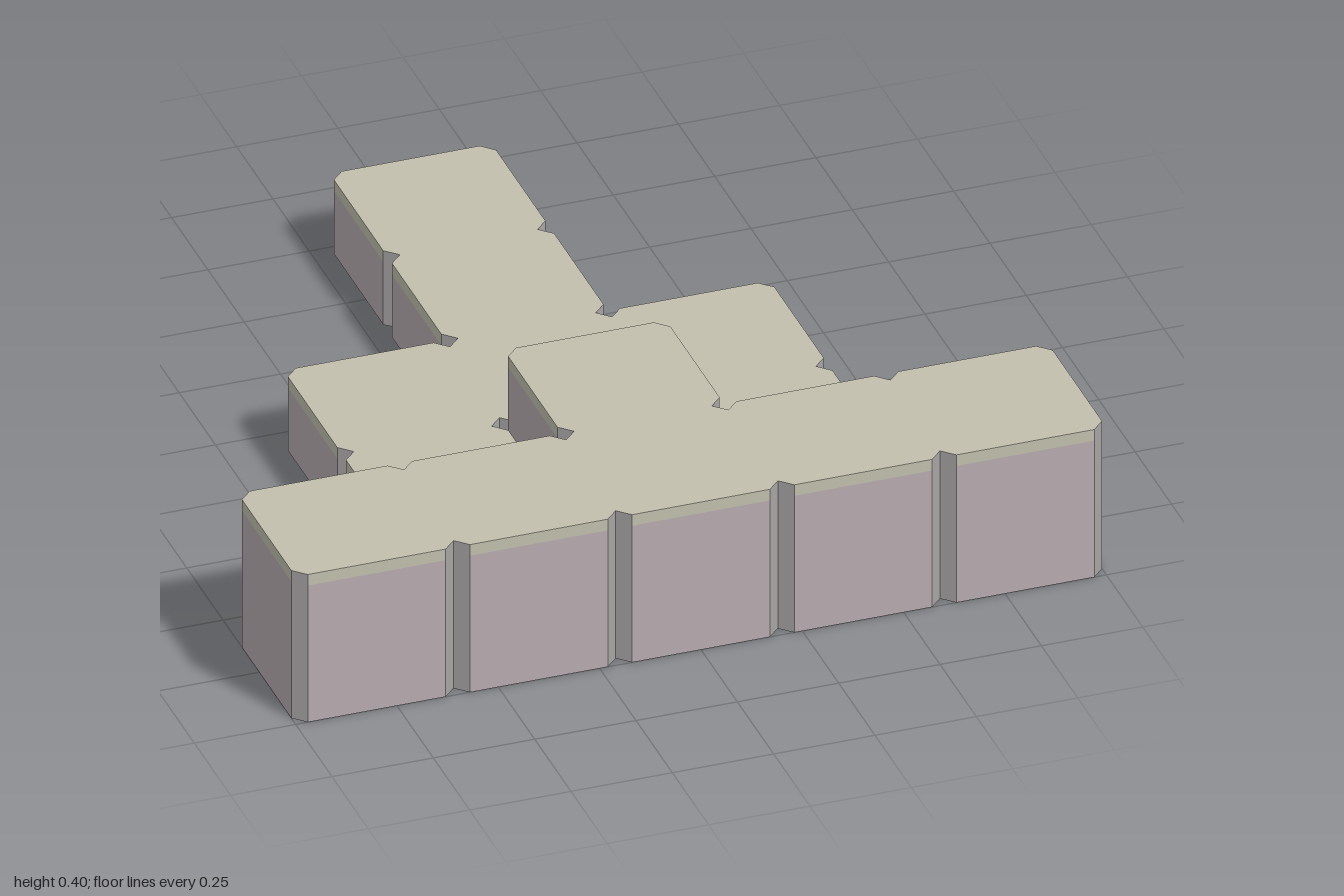
import * as THREE from 'three';

const CELL = 0.4, HALF = 0.2, CUT = 0.03, BAND = 0.03;

// block heights, in rows from back to front
const heights = [
  [0, 0, 0.2, 0, 0],
  [0, 0, 0.2, 0, 0],
  [0, 0.2, 0.2, 0.2, 0],
  [0, 0.2, 0.4, 0.2, 0],
  [0.4, 0.4, 0.4, 0.4, 0.4],
];
const heightAt = (col, row) => heights[row]?.[col] ?? 0;

// collects triangles and turns them into a flat shaded mesh
class Surface {
  constructor() { this.points = []; }
  triangle(a, b, c) { this.points.push(...a, ...b, ...c); }
  // upright panel from floor point p to floor point q
  panel(p, q, y0, y1) {
    const p0 = [p[0], y0, p[1]], p1 = [p[0], y1, p[1]];
    const q0 = [q[0], y0, q[1]], q1 = [q[0], y1, q[1]];
    this.triangle(q0, p0, p1);
    this.triangle(q0, p1, q1);
  }
  mesh(name, material) {
    const geometry = new THREE.BufferGeometry();
    geometry.setAttribute('position', new THREE.Float32BufferAttribute(this.points, 3));
    geometry.computeVertexNormals();
    const mesh = new THREE.Mesh(geometry, material);
    mesh.name = name;
    return mesh;
  }
}

function material(name, color) {
  const m = new THREE.MeshStandardMaterial({ color });
  m.name = name;
  return m;
}

export function createModel() {
  const group = new THREE.Group();
  group.name = 'steppedBlocks';
  const stone = material('olive stone', 0xc2bfae);
  const wall = material('mauve wall', 0xb8acb0);
  const corner = material('grey corner', 0xa9a6a6);
  const tops = new Surface(), bands = new Surface(), walls = new Surface();
  const corners = new Surface(), base = new Surface();
  const steps = [[1, 0], [0, 1], [-1, 0], [0, -1]];

  heights.forEach((line, row) => line.forEach((h, col) => {
    if (!h) return;
    const cx = (col - 2) * CELL, cz = (row - 2) * CELL;

    // octagonal outline with small cut corners
    const outline = [];
    for (const [nx, nz] of steps) {
      for (const s of [-1, 1]) {
        const t = s * (HALF - CUT);
        outline.push([cx + nx * HALF - nz * t, cz + nz * HALF + nx * t]);
      }
    }

    // top and underside
    outline.forEach((p, i) => {
      const q = outline[(i + 1) % 8];
      tops.triangle([cx, h, cz], [q[0], h, q[1]], [p[0], h, p[1]]);
      base.triangle([cx, 0, cz], [p[0], 0, p[1]], [q[0], 0, q[1]]);
    });

    // exposed walls with a stone band along the rim, and cut corners
    steps.forEach(([nx, nz], i) => {
      const p = outline[2 * i], q = outline[2 * i + 1];
      const low = heightAt(col + nx, row + nz);
      if (low < h) {
        walls.panel(p, q, low, h - BAND);
        bands.panel(p, q, h - BAND, h);
      }
      corners.panel(q, outline[(2 * i + 2) % 8], 0, h);
    });
  }));

  group.add(
    tops.mesh('blockTops', stone),
    bands.mesh('rimBands', stone),
    walls.mesh('blockWalls', wall),
    corners.mesh('cutCorners', corner),
    base.mesh('underside', wall),
  );
  return group;
}
